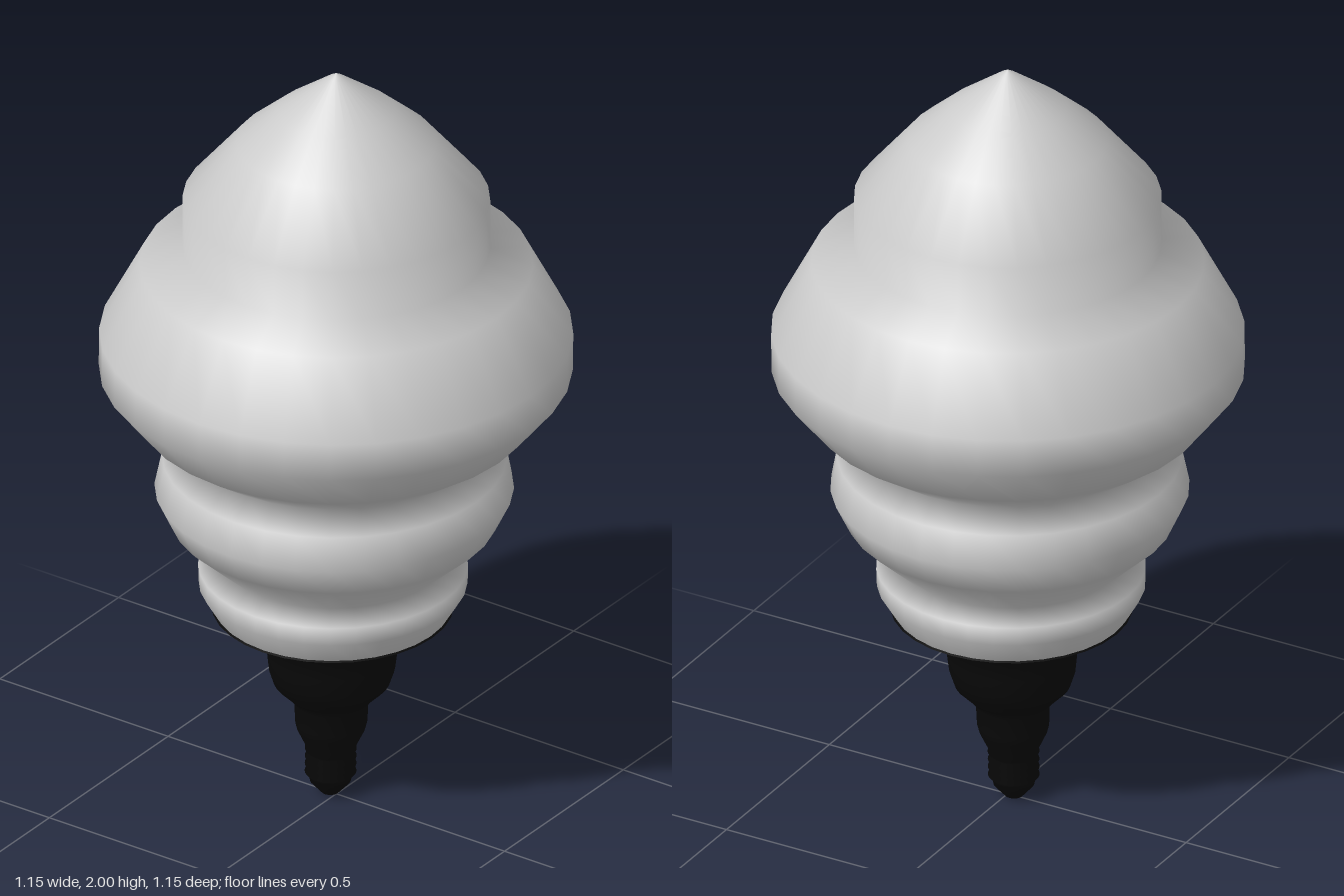
import * as THREE from 'three';

const SEGMENTS = 32;

// Lathe a bottom-to-top [radius, y] profile; the lower half leans slightly to -x.
function turned(name, profile, color) {
  const geometry = new THREE.LatheGeometry(profile.map(([r, y]) => new THREE.Vector2(r, y)), SEGMENTS);
  const p = geometry.attributes.position;
  for (let i = 0; i < p.count; i++) {
    p.setX(i, p.getX(i) - 0.018 * Math.max(0, 1 - p.getY(i) / 1.3));
  }
  const mesh = new THREE.Mesh(geometry, new THREE.MeshStandardMaterial({ color, side: THREE.DoubleSide }));
  mesh.name = name;
  return mesh;
}

export function createModel() {
  const group = new THREE.Group();
  group.name = 'tieredSpinner';

  // Swelling tiers flowing into the pointed dome
  const lowerTier = [[0.29, 0.525], [0.327, 0.588], [0.328, 0.636], [0.288, 0.67]];
  const middleTier = [[0.4, 0.774], [0.437, 0.853], [0.42, 0.94], [0.368, 0.99]];
  const wideTier = [[0.485, 1.07], [0.576, 1.185], [0.576, 1.285], [0.478, 1.473], [0.374, 1.52]];
  const dome = [[0.374, 1.653], [0.243, 1.81], [0.143, 1.897], [0.02, 1.988], [0, 2]];
  group.add(turned('tieredBody', [...lowerTier, ...middleTier, ...wideTier, ...dome], 0xcccccc));

  // Dark stem: rounded tip, fine ridges, stepped neck and flared collar
  const stem = [[0, 0], [0.022, 0.003], [0.05, 0.035]];
  for (let i = 0; i < 4; i++) {
    const y = 0.05 + i * 0.021;
    stem.push([0.053, y], [0.063, y + 0.01]);
  }
  stem.push([0.062, 0.135], [0.083, 0.18], [0.088, 0.2], [0.09, 0.255], [0.105, 0.275],
    [0.142, 0.313], [0.154, 0.35], [0.159, 0.395], [0.159, 0.466], [0.295, 0.522], [0, 0.524]);
  group.add(turned('stem', stem, 0x080808));

  return group;
}
